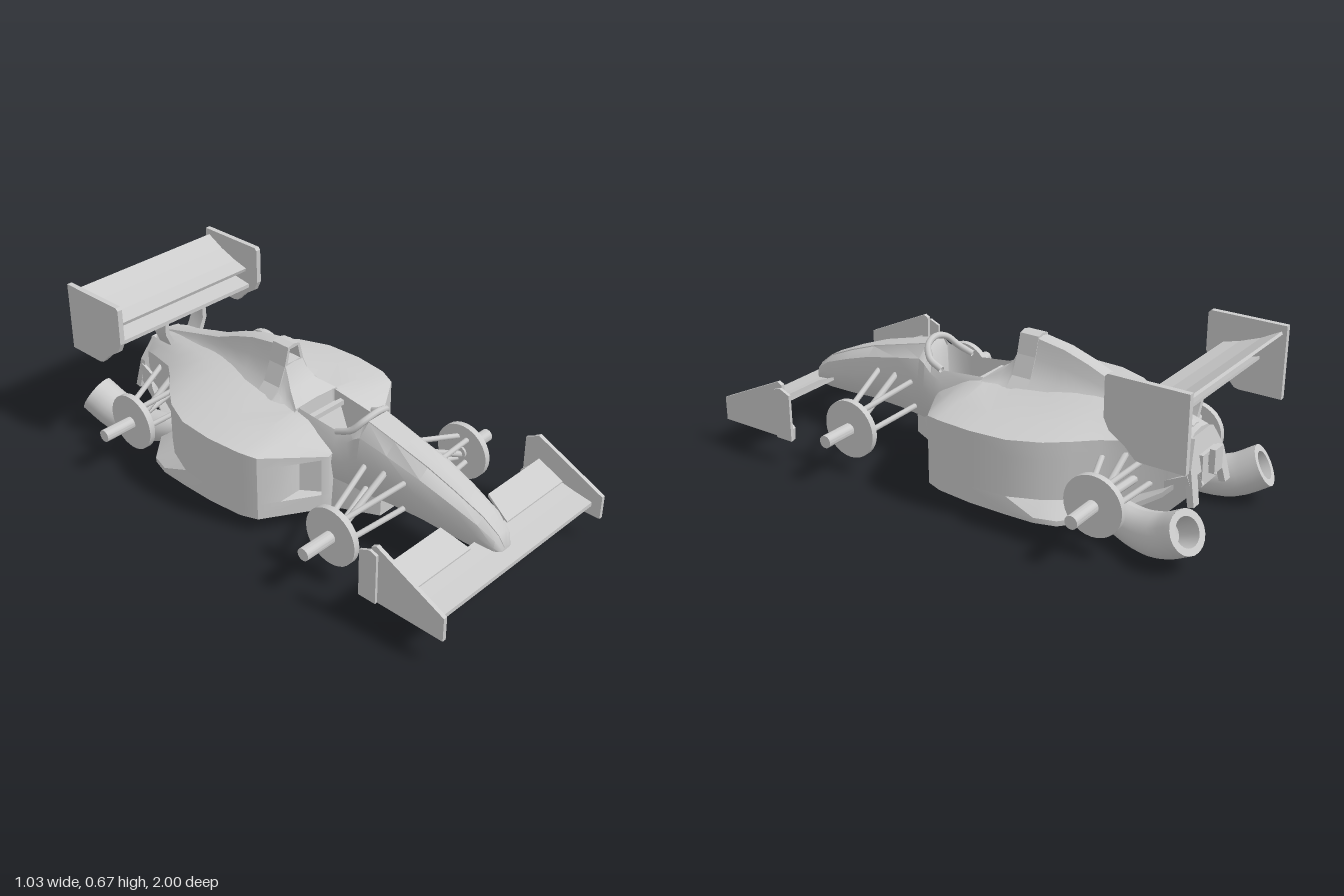
import * as THREE from 'three';
import { toCreasedNormals } from 'three/addons/utils/BufferGeometryUtils.js';

const mat = new THREE.MeshStandardMaterial({ color: 0xcccccc, side: THREE.DoubleSide });

function add(parent, name, geo) {
  const m = new THREE.Mesh(geo, mat);
  m.name = name;
  parent.add(m);
  return m;
}

const vec2 = pts => pts.map(p => new THREE.Vector2(...p));
const curve = pts => new THREE.CatmullRomCurve3(pts.map(p => new THREE.Vector3(...p)));

// Skin a list of { z, pts } rings, ordered front to back, each counterclockwise from the front
function loft(rings) {
  const n = rings[0].pts.length, pos = [], idx = [];
  for (const r of rings) for (const [x, y] of r.pts) pos.push(x, y, r.z);
  for (let i = 0; i < rings.length - 1; i++) for (let j = 0; j < n; j++) {
    const a = i * n + j, b = i * n + (j + 1) % n;
    idx.push(a, a + n, b, b, a + n, b + n);
  }
  const cap = (r, o, flip) => {
    for (const [a, b, c] of THREE.ShapeUtils.triangulateShape(vec2(r.pts), [])) {
      idx.push(o + a, o + (flip ? c : b), o + (flip ? b : c));
    }
  };
  cap(rings[0], 0, false);
  cap(rings.at(-1), (rings.length - 1) * n, true);
  const g = new THREE.BufferGeometry();
  g.setAttribute('position', new THREE.Float32BufferAttribute(pos, 3));
  g.setIndex(idx);
  return toCreasedNormals(g, 0.65);
}

// Full ring from a half profile running bottom centre to top centre
const mirrorRing = half => half.concat(half.slice(1, -1).reverse().map(([x, y]) => [-x, y]));

// Plate drawn in (z, y) and extruded across x, centred on x
function sidePlate(pts, width, x = 0) {
  const g = new THREE.ExtrudeGeometry(new THREE.Shape(vec2(pts)), { depth: width, bevelEnabled: false });
  return g.translate(0, 0, -width / 2).rotateY(-Math.PI / 2).translate(x, 0, 0);
}

const box = (w, h, d, x, y, z) => new THREE.BoxGeometry(w, h, d).translate(x, y, z);

// Round part lying along x
const drum = (r, len, sides, x, y, z) =>
  toCreasedNormals(new THREE.CylinderGeometry(r, r, len, sides).rotateZ(Math.PI / 2), 0.6).translate(x, y, z);

function rod(parent, name, a, b, r = 0.011) {
  const A = new THREE.Vector3(...a), B = new THREE.Vector3(...b), d = B.clone().sub(A);
  const m = add(parent, name, new THREE.CylinderGeometry(r, r, d.length(), 8));
  m.position.copy(A).add(B).multiplyScalar(0.5);
  m.quaternion.setFromUnitVectors(new THREE.Vector3(0, 1, 0), d.normalize());
}

// Nose and cockpit tub: z, half width, bottom, top, then opening half width and opening floor
function tub() {
  return loft([
    [0.905, 0.025, 0.14, 0.175], [0.885, 0.048, 0.138, 0.22], [0.82, 0.068, 0.138, 0.272],
    [0.7, 0.085, 0.145, 0.325], [0.58, 0.097, 0.155, 0.37], [0.43, 0.103, 0.15, 0.41], [0.31, 0.112, 0.14, 0.442],
    [0.285, 0.114, 0.135, 0.425, 0.05, 0.41], [0.28, 0.115, 0.135, 0.42, 0.055, 0.21], [0.25, 0.12, 0.13, 0.39, 0.08, 0.2],
    [0.2, 0.128, 0.12, 0.372, 0.09, 0.19], [0.01, 0.135, 0.11, 0.392, 0.096, 0.19],
    [0.005, 0.135, 0.11, 0.394, 0.09, 0.39], [-0.04, 0.135, 0.11, 0.4],
  ].map(([z, w, b, t, co = 0.45 * w, yin = t + 0.004]) => {
    const h = t - b;
    return { z, pts: mirrorRing([[0, b], [0.6 * w, b], [0.9 * w, b + 0.25 * h], [w, b + 0.55 * h],
      [0.87 * w, b + 0.85 * h], [co, t], [co * 0.98, yin], [0, yin]]) };
  }));
}

// Half cross-section of the body; the side between lo and hi is pushed in by the inlet depth
function bodyRing([z, wf, ws, ys, xi, yi, yc], inlet = 0) {
  const xc = z > -0.005 ? 0.105 : 0;
  const yb = 0.055 + 2 * Math.max(0, -z - 0.56) ** 2;
  const lo = Math.max(0.12, yb + 0.03), hi = Math.max(0.275, lo + 0.01);
  return { z, pts: [[xc, yb], [wf, yb], [wf, yb + 0.02], [ws, lo], [ws - inlet, lo + 0.001], [ws - inlet, hi - 0.001],
    [ws, hi], [ws, ys], [xi + 0.55 * (ws - xi), ys + 0.48 * (yi - ys)], [xi, yi], [xc, yc]] };
}

// One half of the sidepods and tail, with the radiator inlet let into the slanted front
function bodyHalf() {
  // z, floor edge, side, shoulder y, inner x, inner y, centre y
  const inletFront = [0.186, 0.163, 0.163, 0.29, 0.128, 0.302, 0.305];
  const inletBack = [0.105, 0.296, 0.296, 0.312, 0.13, 0.345, 0.35];
  const main = [
    [0.06, 0.37, 0.37, 0.325, 0.13, 0.366, 0.37],
    [0, 0.393, 0.393, 0.333, 0.13, 0.38, 0.385],
    [-0.01, 0.396, 0.396, 0.334, 0.13, 0.381, 0.387],
    [-0.15, 0.41, 0.41, 0.337, 0.14, 0.388, 0.42],
    [-0.3, 0.41, 0.4, 0.338, 0.12, 0.4, 0.44],
    [-0.42, 0.405, 0.35, 0.34, 0.11, 0.405, 0.435],
    [-0.5, 0.38, 0.29, 0.342, 0.095, 0.405, 0.43],
    [-0.57, 0.3, 0.225, 0.342, 0.08, 0.402, 0.42],
    [-0.65, 0.2, 0.165, 0.338, 0.07, 0.398, 0.41],
    [-0.78, 0.15, 0.13, 0.325, 0.06, 0.385, 0.392],
    [-0.84, 0.115, 0.11, 0.31, 0.05, 0.373, 0.38],
  ];
  return loft([bodyRing([0.2, 0.14, 0.14, 0.285, 0.125, 0.292, 0.295]),
    bodyRing(inletFront), bodyRing(inletFront, 0.025), bodyRing(inletBack, 0.1), bodyRing(inletBack),
    ...main.map(row => bodyRing(row))]);
}

// Engine cover rings: z, base half width, base y, top half width, top y
const coverRings = rows => rows.map(([z, wb, yb, wt, yt]) => ({ z, pts: mirrorRing([[0, yb - 0.05], [wb, yb - 0.05],
  [wb, yb], [wt + (wb - wt) * 0.5, yb + (yt - yb) * 0.24], [wt + (wb - wt) * 0.2, yb + (yt - yb) * 0.6], [wt, yt], [0, yt + 0.005]]) }));

function airboxMouth() {
  const s = new THREE.Shape(vec2(mirrorRing([[0, 0.36], [0.13, 0.36], [0.13, 0.38], [0.082, 0.425], [0.05, 0.5], [0.03, 0.575], [0, 0.582]])));
  s.holes.push(new THREE.Path(vec2([[-0.034, 0.508], [-0.021, 0.566], [0.021, 0.566], [0.034, 0.508]])));
  return new THREE.ExtrudeGeometry(s, { depth: 0.08, bevelEnabled: false }).translate(0, 0, -0.19);
}

// Flared tube: a unit tube whose rings are rescaled along the path
function horn(parent) {
  const path = curve([[0.18, 0.12, -0.48], [0.215, 0.093, -0.6], [0.25, 0.07, -0.75], [0.275, 0.088, -0.86], [0.3, 0.143, -0.957]]);
  const n = 16, sides = 20, g = new THREE.TubeGeometry(path, n, 1, sides), p = g.attributes.position;
  const v = new THREE.Vector3();
  for (let i = 0; i < p.count; i++) {
    const t = Math.floor(i / (sides + 1)) / n, c = path.getPointAt(t);
    v.fromBufferAttribute(p, i).sub(c).multiplyScalar(0.045 + 0.035 * Math.min(1, t * 1.4)).add(c);
    p.setXYZ(i, v.x, v.y, v.z);
  }
  g.computeVertexNormals();
  add(parent, 'exhaustHorn', g);
  const lip = vec2([[0, -0.1], [0.045, -0.09], [0.054, 0], [0.08, 0]]);
  const m = add(parent, 'exhaustMouth', toCreasedNormals(new THREE.LatheGeometry(lip, sides), 0.6));
  m.position.copy(path.getPointAt(1));
  m.quaternion.setFromUnitVectors(new THREE.Vector3(0, 1, 0), path.getTangentAt(1));
}

// Parts of the left side, repeated mirrored for the right
function buildSide(name) {
  const g = new THREE.Group();
  g.name = name;
  add(g, 'sidepod', bodyHalf());

  // Front wing flap, cut back beside the nose, with endplate and fin
  const flap = sidePlate([[0.83, 0.17], [0.83, 0.185], [0.72, 0.235], [0.72, 0.222]], 0.34, 0.275), p = flap.attributes.position;
  for (let i = 0; i < p.count; i++) if (p.getZ(i) < 0.75 && p.getX(i) < 0.2) p.setX(i, 0.135);
  flap.computeVertexNormals();
  add(g, 'frontFlap', flap);
  add(g, 'frontEndplate', sidePlate([[1, 0.1], [1, 0.195], [0.71, 0.33], [0.69, 0.32], [0.69, 0.19], [0.645, 0.15], [0.65, 0.1]], 0.016, 0.452));
  add(g, 'endplateFin', sidePlate([[0.72, 0.1], [0.72, 0.3], [0.69, 0.31], [0.645, 0.29], [0.645, 0.1]], 0.012, 0.465));

  // Rear wing endplate and curved mounting blade
  add(g, 'rearEndplate', sidePlate([[-0.68, 0.665], [-0.67, 0.655], [-0.67, 0.51], [-0.69, 0.47], [-0.75, 0.43],
    [-0.79, 0.39], [-0.81, 0.385], [-0.975, 0.385], [-0.975, 0.665]], 0.022, 0.365));
  add(g, 'wingMount', loft([-0.72, -0.79].map(z => ({ z, pts: [[0.06, 0.37], [0.085, 0.37],
    [0.11, 0.43], [0.108, 0.478], [0.09, 0.478], [0.09, 0.43]] }))));

  // Hubs, axles and suspension arms
  for (const [end, z, inner] of [['front', 0.43, 0.09], ['rear', -0.64, 0.13]]) {
    add(g, end + 'Disc', drum(0.115, 0.025, 32, 0.367, 0.175, z));
    add(g, end + 'Axle', drum(0.025, 0.17, 16, 0.43, 0.175, z));
    for (const s of [-1, 1]) {
      rod(g, end + 'UpperArm', [0.36, 0.235, z + s * 0.02], [inner, 0.3, z + s * 0.09]);
      rod(g, end + 'LowerArm', [0.36, 0.135, z + s * 0.02], [inner, 0.19, z + s * 0.09]);
    }
    rod(g, end + 'PushRod', [0.36, 0.16, z], [inner, 0.305, z], 0.013);
  }
  rod(g, 'driveShaft', [0.36, 0.175, -0.64], [0.1, 0.2, -0.68], 0.016);

  horn(g);
  // Diffuser strakes
  for (const x of [0.05, 0.125]) {
    add(g, 'diffuserStrake', sidePlate([[-0.6, 0.065], [-0.78, 0.075], [-0.885, 0.19], [-0.86, 0.25], [-0.76, 0.2]], 0.012, x));
  }
  return g;
}

export function createModel() {
  const car = new THREE.Group();
  car.name = 'openWheelRacer';
  const right = buildSide('rightSide');
  right.scale.x = -1;
  car.add(buildSide('leftSide'), right);

  // Nose, keel and cockpit
  add(car, 'noseAndTub', tub());
  add(car, 'keel', loft([[0.37, 0.042], [0.2, 0.125], [0.1, 0.125]].map(([z, w]) => (
    { z, pts: [[-w, 0.055], [w, 0.055], [w * 0.9, 0.2], [-w * 0.9, 0.2]] }))));
  const rim = curve([[-0.1, 0.378, 0.2], [-0.09, 0.405, 0.262], [-0.06, 0.443, 0.294], [0, 0.46, 0.304],
    [0.06, 0.443, 0.294], [0.09, 0.405, 0.262], [0.1, 0.378, 0.2]]);
  add(car, 'cockpitCowl', new THREE.TubeGeometry(rim, 30, 0.013, 8));
  add(car, 'seat', sidePlate([[0.02, 0.35], [0.05, 0.35], [0.1, 0.22], [0.22, 0.21], [0.22, 0.185], [0.02, 0.185]], 0.17));
  add(car, 'headrestBar', box(0.19, 0.02, 0.02, 0, 0.355, 0.05));

  // Engine cover and air intake
  add(car, 'airboxRamp', loft(coverRings([[0.005, 0.13, 0.375, 0.11, 0.392], [-0.06, 0.13, 0.375, 0.07, 0.425],
    [-0.095, 0.13, 0.38, 0.05, 0.47], [-0.112, 0.13, 0.38, 0.045, 0.505]])));
  add(car, 'airIntake', airboxMouth());
  add(car, 'engineCover', loft(coverRings([[-0.17, 0.13, 0.38, 0.03, 0.57], [-0.3, 0.115, 0.39, 0.03, 0.548],
    [-0.4, 0.095, 0.395, 0.029, 0.515], [-0.5, 0.085, 0.39, 0.027, 0.472], [-0.62, 0.07, 0.39, 0.025, 0.44], [-0.82, 0.05, 0.36, 0.02, 0.385]])));

  // Wing planes
  add(car, 'frontMainPlane', sidePlate([[0.96, 0.138], [0.96, 0.155], [0.88, 0.168], [0.815, 0.182], [0.815, 0.165], [0.88, 0.142]], 0.89));
  add(car, 'rearMainPlane', sidePlate([[-0.74, 0.54], [-0.735, 0.555], [-0.8, 0.572], [-0.88, 0.602], [-0.955, 0.642],
    [-0.96, 0.632], [-0.88, 0.58], [-0.8, 0.548]], 0.72));
  add(car, 'rearLowerPlane', sidePlate([[-0.72, 0.472], [-0.72, 0.488], [-0.8, 0.5], [-0.8, 0.482]], 0.72));
  add(car, 'rearLowerFlap', sidePlate([[-0.81, 0.495], [-0.81, 0.51], [-0.88, 0.532], [-0.88, 0.52]], 0.72));

  // Tail arch, gearbox and rear lamp
  const arch = new THREE.Shape(vec2([[-0.14, 0.14], [-0.125, 0.27], [-0.07, 0.365], [0.07, 0.365], [0.125, 0.27], [0.14, 0.14],
    [0.1, 0.14], [0.085, 0.24], [-0.085, 0.24], [-0.1, 0.14]]));
  add(car, 'tailArch', new THREE.ExtrudeGeometry(arch, { depth: 0.025, bevelEnabled: false }).rotateX(0.2).translate(0, 0.005, -0.925));
  add(car, 'gearbox', box(0.11, 0.12, 0.1, 0, 0.24, -0.83));
  add(car, 'lampStem', box(0.025, 0.04, 0.05, 0, 0.27, -0.885));
  add(car, 'rearLamp', box(0.06, 0.09, 0.022, 0, 0.275, -0.902));
  return car;
}
